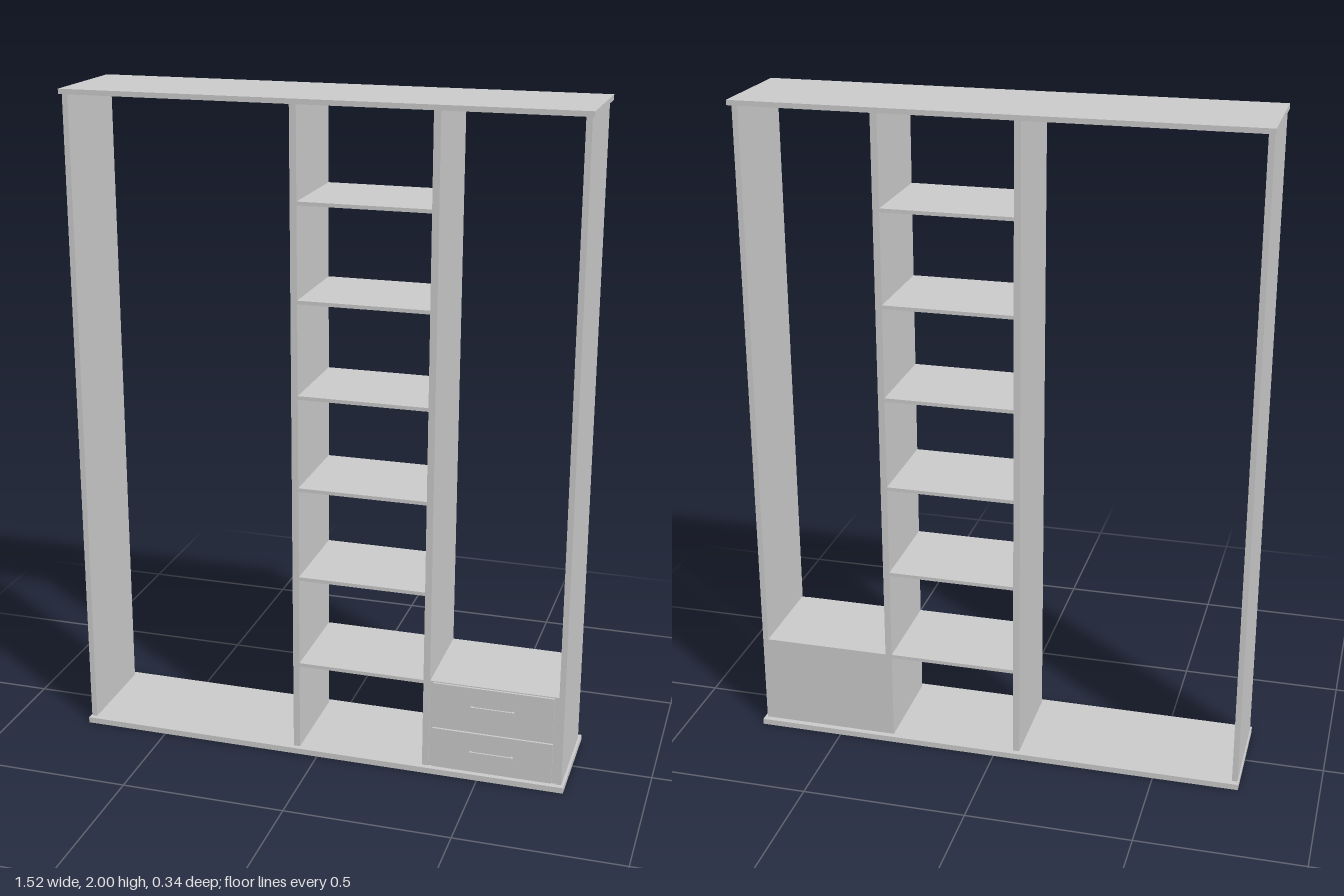
import * as THREE from 'three';

const material = new THREE.MeshStandardMaterial({ color: 0xcccccc });

// Box given by its extents along x, y and z
function box(name, [x0, x1], [y0, y1], [z0, z1]) {
  const mesh = new THREE.Mesh(new THREE.BoxGeometry(x1 - x0, y1 - y0, z1 - z0), material);
  mesh.position.set((x0 + x1) / 2, (y0 + y1) / 2, (z0 + z1) / 2);
  mesh.name = name;
  return mesh;
}

export function createModel() {
  const model = new THREE.Group();
  model.name = 'wardrobe';
  const depth = [-0.152, 0.154];
  const height = [0.018, 1.985];

  // Overhanging base and top boards
  model.add(box('baseBoard', [-0.76, 0.76], [0, 0.018], [-0.17, 0.17]));
  model.add(box('topBoard', [-0.76, 0.76], [1.985, 2], [-0.17, 0.17]));

  // Upright panels
  model.add(box('rightSide', [-0.756, -0.739], height, depth));
  model.add(box('rightDivider', [-0.079, -0.059], height, depth));
  model.add(box('leftDivider', [0.328, 0.348], height, depth));
  model.add(box('leftSide', [0.735, 0.752], height, depth));

  // Evenly spaced shelves in the middle bay
  for (let i = 0; i < 6; i++) {
    const top = 0.301 + i * 0.2828;
    model.add(box('shelf', [-0.059, 0.328], [top - 0.011, top], depth));
  }

  // Drawer cabinet with two fronts and bar handles
  model.add(box('drawerCabinet', [0.348, 0.735], [0.018, 0.3], [-0.152, 0.15]));
  for (const y of [0.02, 0.169]) {
    const drawer = new THREE.Group();
    drawer.name = 'drawer';
    drawer.add(box('drawerFront', [0.358, 0.722], [y, y + 0.128], [0.15, 0.157]));
    const mid = y + 0.064;
    drawer.add(box('handleBar', [0.475, 0.605], [mid - 0.006, mid + 0.006], [0.162, 0.167]));
    for (const x of [0.475, 0.599]) {
      drawer.add(box('handlePost', [x, x + 0.006], [mid - 0.006, mid + 0.006], [0.157, 0.162]));
    }
    model.add(drawer);
  }
  return model;
}
